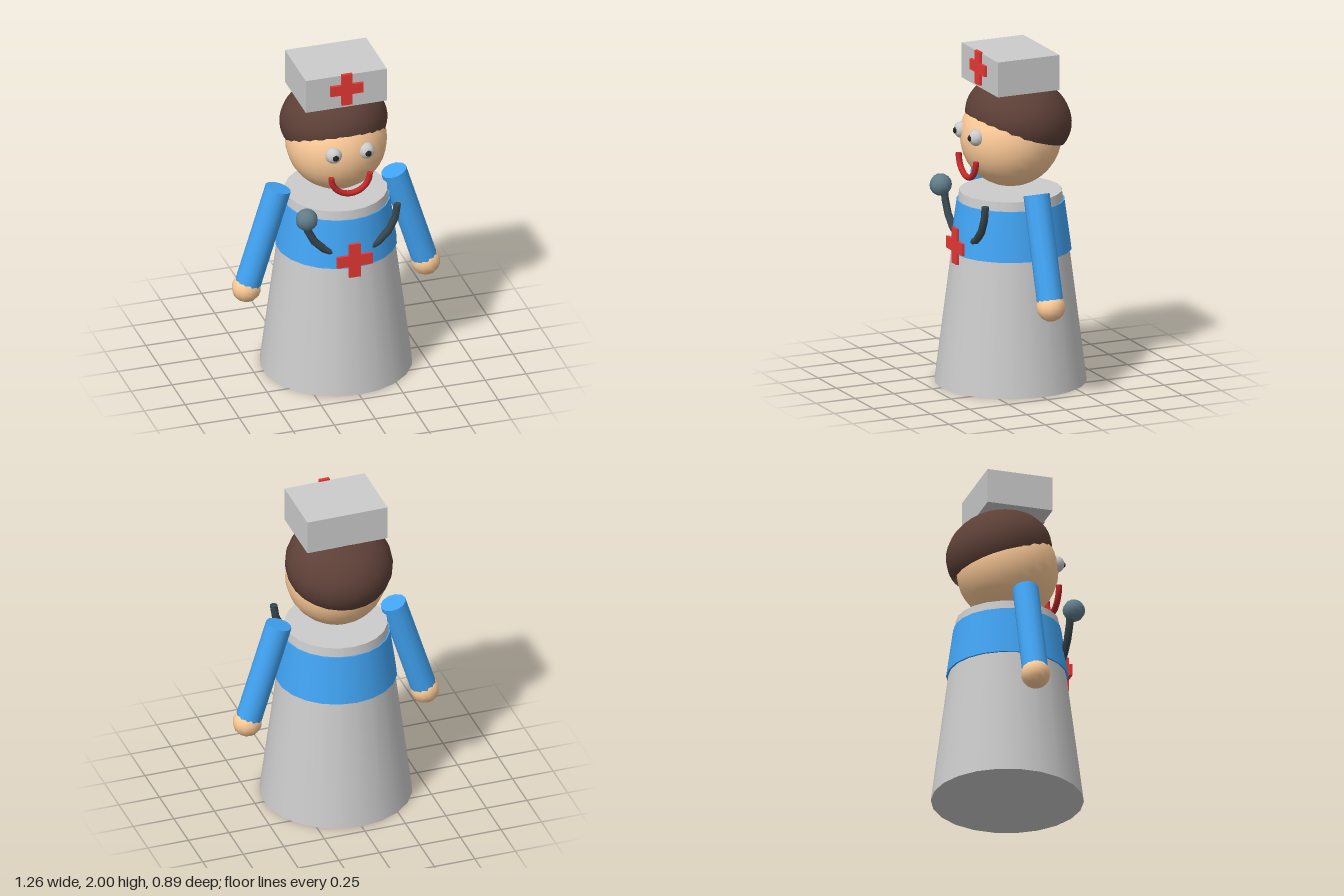
import * as THREE from 'three';

const mat = (color, side = THREE.FrontSide) => new THREE.MeshStandardMaterial({ color, side });
const GREY = mat(0xcccccc), SKIN = mat(0xffcc99), BLUE = mat(0x42a5f5), RED = mat(0xe53935);
const HAIR = mat(0x5d4037, THREE.DoubleSide), LIPS = mat(0xc62828), TUBE = mat(0x37474f);
const METAL = mat(0x607d8b), BLACK = mat(0x222222);

export function createModel() {
  const model = new THREE.Group();

  const add = (name, geometry, material, x = 0, y = 0, z = 0, parent = model) => {
    const mesh = new THREE.Mesh(geometry, material);
    mesh.name = name;
    mesh.position.set(x, y, z);
    parent.add(mesh);
    return mesh;
  };

  // Plus-shaped badge, one extruded outline
  const cross = (name, half, bar, depth, y, z) => {
    const b = bar / 2, h = half;
    const outline = [[b, -h], [b, -b], [h, -b], [h, b], [b, b], [b, h],
      [-b, h], [-b, b], [-h, b], [-h, -b], [-b, -b], [-b, -h]];
    const shape = new THREE.Shape(outline.map(([px, py]) => new THREE.Vector2(px, py)));
    add(name, new THREE.ExtrudeGeometry(shape, { depth, bevelEnabled: false }), RED, 0, y, z);
  };

  // U-shaped half ring hanging below its centre, with closed ends
  const halfRing = (name, radius, tube, sides, segments, material, y, z) => {
    const group = new THREE.Group();
    group.name = name;
    group.position.set(0, y, z);
    const arc = add(name + 'Arc', new THREE.TorusGeometry(radius, tube, sides, segments, Math.PI), material, 0, 0, 0, group);
    arc.rotation.z = Math.PI;
    for (const s of [-1, 1]) {
      const cap = add(name + 'End', new THREE.CircleGeometry(tube, sides), material, s * radius, 0, 0, group);
      cap.rotation.x = -Math.PI / 2;
    }
    model.add(group);
  };

  // Dress and blue bodice band
  add('dress', new THREE.CylinderGeometry(0.3, 0.445, 1.145, 22), GREY, 0, 0.5725, 0);
  add('bodice', new THREE.CylinderGeometry(0.315, 0.356, 0.295, 22), BLUE, 0, 0.9425, 0);
  cross('chestCross', 0.108, 0.07, 0.017, 0.845, 0.347);

  // Head, tilted flattened hair cap, hat
  add('head', new THREE.SphereGeometry(0.297, 24, 18), SKIN, 0, 1.47, 0);
  const hair = add('hair', new THREE.SphereGeometry(1, 24, 16, 0, Math.PI * 2, 0, Math.PI * 0.61), HAIR, 0, 1.575, -0.05);
  hair.scale.set(0.315, 0.25, 0.315);
  hair.rotation.x = -0.3;
  add('hat', new THREE.BoxGeometry(0.495, 0.21, 0.396), GREY, 0, 1.885, 0);
  cross('hatCross', 0.1, 0.064, 0.02, 1.9, 0.196);

  // Face
  halfRing('smile', 0.118, 0.018, 10, 20, LIPS, 1.367, 0.278);

  for (const s of [-1, 1]) {
    const side = s > 0 ? 'left' : 'right';
    add(side + 'Eye', new THREE.SphereGeometry(0.05, 14, 10), GREY, s * 0.1, 1.51, 0.265);
    add(side + 'Pupil', new THREE.SphereGeometry(0.022, 10, 8), BLACK, s * 0.1, 1.51, 0.3);

    // Arm runs from the shoulder into the hand
    const shoulder = new THREE.Vector3(s * 0.352, 1.197, 0);
    const wrist = new THREE.Vector3(s * 0.547, 0.57, 0);
    const mid = shoulder.clone().add(wrist).multiplyScalar(0.5);
    const arm = add(side + 'Arm', new THREE.CylinderGeometry(0.077, 0.077, shoulder.distanceTo(wrist), 12), BLUE, mid.x, mid.y, 0);
    arm.rotation.z = s * 0.3;
    add(side + 'Hand', new THREE.SphereGeometry(0.086, 12, 9), SKIN, wrist.x, wrist.y, 0);
  }

  // Stethoscope, its middle sunk into the bodice
  halfRing('stethoscopeTube', 0.28, 0.023, 8, 10, TUBE, 1.14, 0.295);
  add('stethoscopeHead', new THREE.SphereGeometry(0.066, 10, 8), METAL, -0.28, 1.14, 0.317);

  return model;
}
